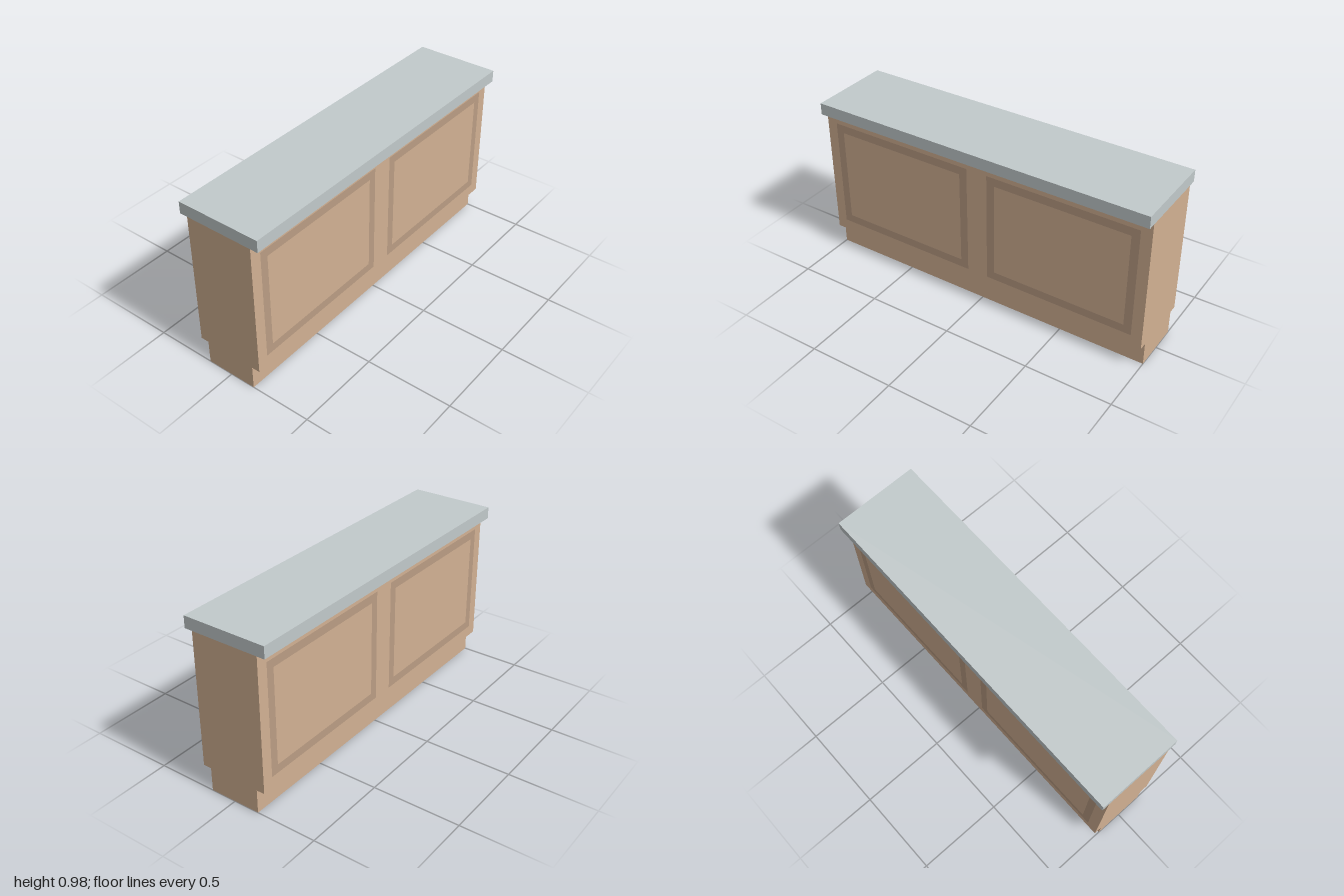
import * as THREE from 'three';

const LENGTH = 2;
const BODY_HALF = 0.199, PLINTH_HALF = 0.151, TOP_HALF = 0.245;
const PLINTH_Y = 0.137, BODY_Y = 0.909, TOP_Y = 0.977;

const wood = new THREE.MeshStandardMaterial({ color: 0xd2b193 });
const darkWood = new THREE.MeshStandardMaterial({ color: 0xbb9d84 });
const stone = new THREE.MeshStandardMaterial({ color: 0xc2cacb });

function addMesh(parent, name, geometry, material) {
  const mesh = new THREE.Mesh(geometry, material);
  mesh.name = name;
  parent.add(mesh);
  return mesh;
}

// Rectangular outline, centred on the origin
function rectanglePoints(width, height) {
  const w = width / 2, h = height / 2;
  return [[-w, -h], [w, -h], [w, h], [-w, h]].map(([x, y]) => new THREE.Vector2(x, y));
}

export function createModel() {
  const counter = new THREE.Group();
  counter.name = 'counter';

  // Cabinet body with a recessed plinth along both long sides
  const profile = new THREE.Shape([
    [-PLINTH_HALF, 0], [PLINTH_HALF, 0], [PLINTH_HALF, PLINTH_Y], [BODY_HALF, PLINTH_Y],
    [BODY_HALF, BODY_Y], [-BODY_HALF, BODY_Y], [-BODY_HALF, PLINTH_Y], [-PLINTH_HALF, PLINTH_Y],
  ].map(([z, y]) => new THREE.Vector2(z, y)));
  const bodyGeometry = new THREE.ExtrudeGeometry(profile, { depth: LENGTH, bevelEnabled: false });
  bodyGeometry.translate(0, 0, -LENGTH / 2).rotateY(Math.PI / 2);
  addMesh(counter, 'cabinetBody', bodyGeometry, wood);

  // Overhanging worktop
  const worktop = addMesh(counter, 'worktop',
    new THREE.BoxGeometry(LENGTH, TOP_Y - BODY_Y, TOP_HALF * 2), stone);
  worktop.position.y = (TOP_Y + BODY_Y) / 2;

  // Thin inlaid frames, two on the front and two on the back
  const frame = new THREE.Shape(rectanglePoints(0.876, 0.648));
  frame.holes.push(new THREE.Path(rectanglePoints(0.784, 0.552).reverse()));
  const frameGeometry = new THREE.ShapeGeometry(frame);
  for (const [side, angle] of [['front', 0], ['back', Math.PI]]) {
    const panels = new THREE.Group();
    panels.name = side + 'Panels';
    panels.rotation.y = angle;
    for (const x of [-0.5, 0.5]) {
      const inlay = addMesh(panels, 'panelFrame', frameGeometry, darkWood);
      inlay.position.set(x, 0.526, BODY_HALF + 0.001);
    }
    counter.add(panels);
  }

  return counter;
}
